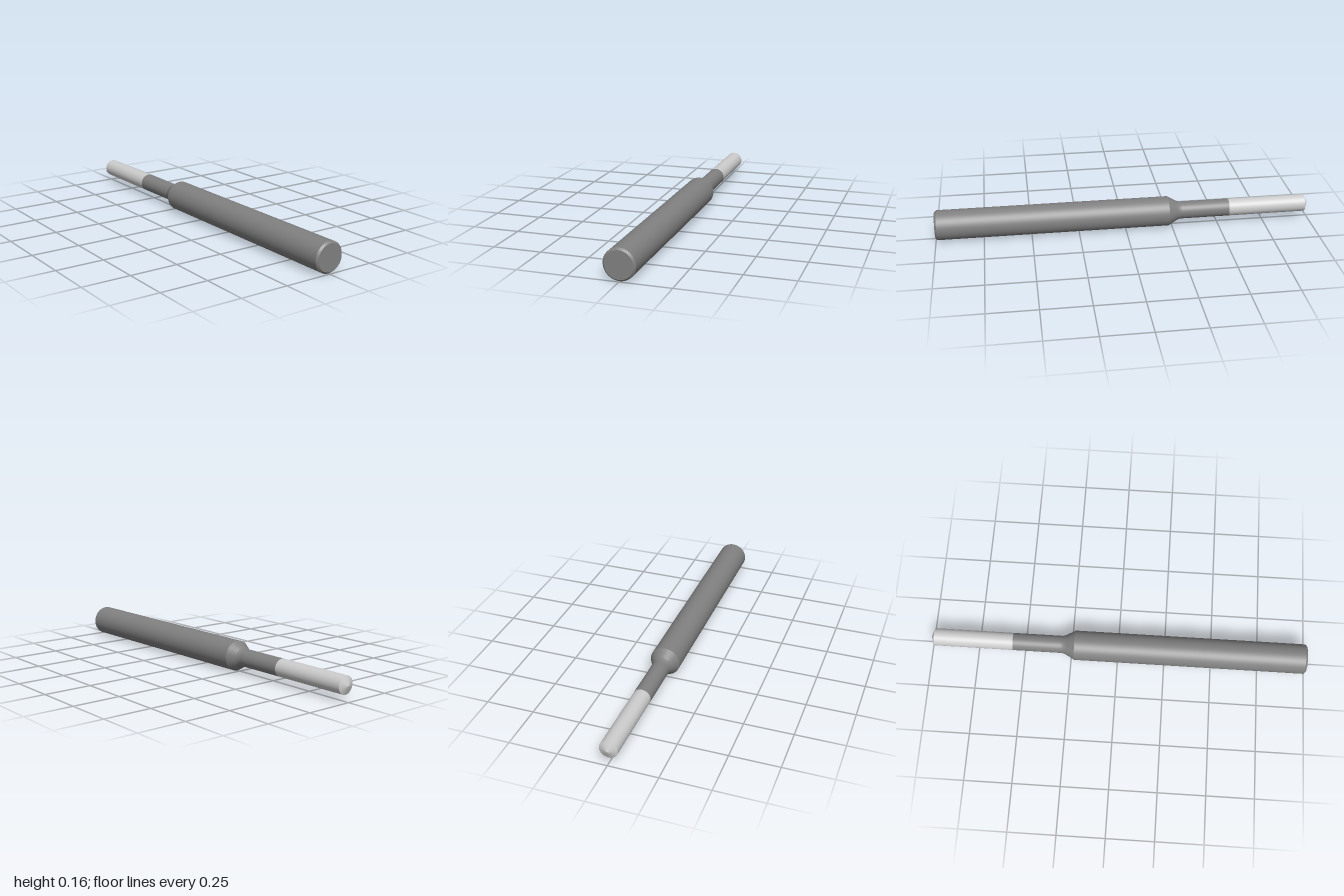
import * as THREE from 'three';
import { mergeGeometries } from 'three/addons/utils/BufferGeometryUtils.js';

const R = 0.0785;   // shank radius
const NECK = 0.046; // neck and cutter radius

// Turned part along z: each run of [radius, z] points is smooth, edges between runs stay sharp
function turned(name, color, runs) {
  const parts = runs.map(run =>
    new THREE.LatheGeometry(run.map(([r, z]) => new THREE.Vector2(r, z)), 64));
  const geometry = mergeGeometries(parts);
  geometry.rotateX(Math.PI / 2);
  const mesh = new THREE.Mesh(geometry, new THREE.MeshStandardMaterial({ color }));
  mesh.name = name;
  mesh.position.y = R;
  return mesh;
}

export function createModel() {
  const group = new THREE.Group();
  group.name = 'cuttingTool';

  // Shank with chamfered, flat front end
  group.add(turned('shank', 0x808080, [
    [[R, -0.23], [R, 0.99]],
    [[R, 0.99], [0.0695, 1]],
    [[0.0695, 1], [0, 1]],
  ]));

  // Neck flaring through a small fillet into the conical shoulder
  group.add(turned('neck', 0x808080, [
    [[NECK, -0.56], [NECK, -0.302]],
    [[NECK, -0.302], [0.0467, -0.294], [0.0488, -0.286], [0.0522, -0.277]],
    [[0.0522, -0.277], [R, -0.23]],
  ]));

  // Cutting section with a shallow conical point
  group.add(turned('cutter', 0xcccccc, [
    [[0, -1], [NECK, -0.98]],
    [[NECK, -0.98], [NECK, -0.56]],
  ]));

  return group;
}
